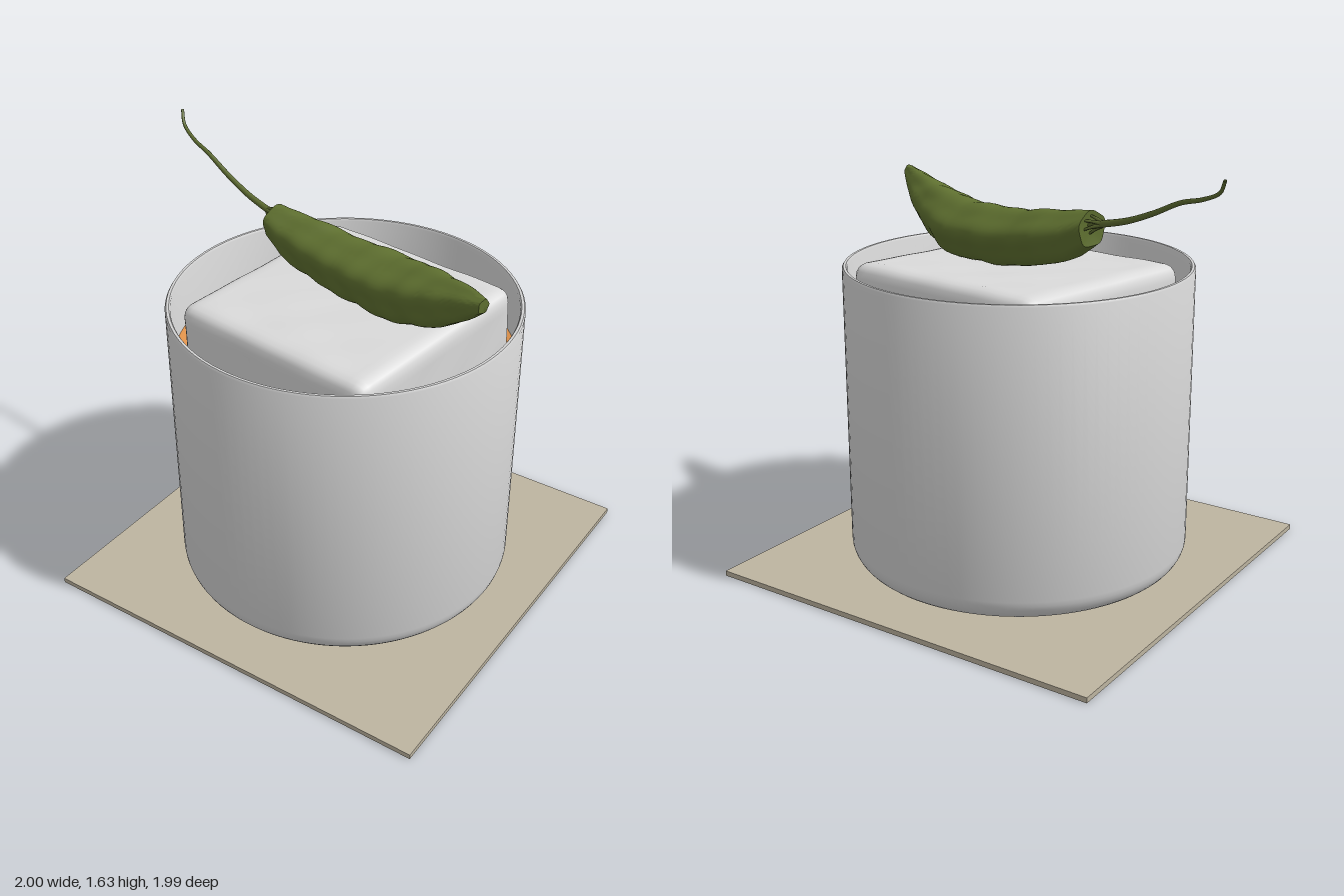
import * as THREE from 'three';
import { mergeVertices, toCreasedNormals } from 'three/addons/utils/BufferGeometryUtils.js';

const mat = (name, color) => Object.assign(new THREE.MeshStandardMaterial({ color }), { name });
const V2 = (x, y) => new THREE.Vector2(x, y);
const V3 = (x, y, z) => new THREE.Vector3(x, y, z);

// Smooth lumps, used for the ice and the pepper skin
const lumps = (x, y, z) =>
  Math.sin(x * 17 + 2 * Math.sin(z * 11)) * Math.sin(z * 15 + y * 9 + 1) * 0.6 +
  Math.sin(x * 31 + z * 23 + y * 27) * 0.4;

// Rounded block with a slightly uneven surface
function iceGeometry(w, h, d, r) {
  let geo = new THREE.BoxGeometry(w, h, d, 32, 32, 32);
  geo.deleteAttribute('uv');
  geo.deleteAttribute('normal');
  geo = mergeVertices(geo);
  const p = geo.attributes.position;
  const lim = V3(w / 2 - r, h / 2 - r, d / 2 - r);
  for (let i = 0; i < p.count; i++) {
    const v = V3().fromBufferAttribute(p, i);
    const core = v.clone().clamp(lim.clone().negate(), lim);
    const dir = v.sub(core).normalize();
    core.addScaledVector(dir, r + 0.0025 * lumps(core.x * 0.8, core.y * 0.8, core.z * 0.8));
    p.setXYZ(i, core.x, core.y, core.z);
  }
  geo.computeVertexNormals();
  return geo;
}

// Pepper stations: x, bottom y, top y, back z, front z
const STATIONS = [
  [-0.375, 1.31, 1.445, -0.055, 0.08],
  [-0.3, 1.255, 1.437, -0.095, 0.085],
  [-0.2, 1.222, 1.425, -0.135, 0.082],
  [-0.1, 1.204, 1.415, -0.155, 0.078],
  [0.05, 1.195, 1.41, -0.19, 0.075],
  [0.2, 1.195, 1.416, -0.205, 0.075],
  [0.3, 1.207, 1.428, -0.19, 0.07],
  [0.4, 1.238, 1.445, -0.16, 0.065],
  [0.5, 1.285, 1.462, -0.115, 0.055],
  [0.6, 1.355, 1.478, -0.068, 0.045],
  [0.69, 1.435, 1.487, -0.012, 0.04],
];

function stationAt(x) {
  let k = 0;
  while (k < STATIONS.length - 2 && x > STATIONS[k + 1][0]) k++;
  const a = STATIONS[k], b = STATIONS[k + 1];
  const t = (x - a[0]) / (b[0] - a[0]);
  return a.map((v, i) => v + (b[i] - v) * t);
}

// Wrinkled body lofted through the stations
function pepperGeometry(rows = 100, sides = 56) {
  const pos = [], idx = [];
  for (let i = 0; i <= rows; i++) {
    const [x, y0, y1, z0, z1] = stationAt(-0.375 + (1.065 * i) / rows);
    const cy = (y0 + y1) / 2, cz = (z0 + z1) / 2, hy = (y1 - y0) / 2, hz = (z1 - z0) / 2;
    for (let j = 0; j < sides; j++) {
      const a = (j / sides) * Math.PI * 2;
      const c = Math.cos(a), s = Math.sin(a);
      const k = 0.98 + 0.05 * Math.cos(5 * a + 0.6 + x) + 0.045 * lumps(x * 1.5, c * 0.13, s * 0.16);
      pos.push(x, cy + hy * c * k, cz + hz * s * k);
    }
  }
  const at = (i, j) => i * sides + (j % sides);
  for (let i = 0; i < rows; i++)
    for (let j = 0; j < sides; j++)
      idx.push(at(i, j), at(i, j + 1), at(i + 1, j), at(i, j + 1), at(i + 1, j + 1), at(i + 1, j));
  // End caps, the stem end slightly sunken
  const ends = [[0, -0.365], [rows, 0.69]];
  ends.forEach(([row, x], e) => {
    const [, y0, y1, z0, z1] = stationAt(x);
    const c = pos.length / 3;
    pos.push(x, (y0 + y1) / 2, (z0 + z1) / 2);
    for (let j = 0; j < sides; j++)
      idx.push(c, at(row, e ? j : j + 1), at(row, e ? j + 1 : j));
  });
  const geo = new THREE.BufferGeometry();
  geo.setAttribute('position', new THREE.Float32BufferAttribute(pos, 3));
  geo.setIndex(idx);
  return toCreasedNormals(geo, 0.9);
}

// Tube along a curve whose radius changes from r0 to r1
function taperedTube(points, r0, r1, segs, sides) {
  const curve = new THREE.CatmullRomCurve3(points);
  const geo = new THREE.TubeGeometry(curve, segs, 1, sides);
  const p = geo.attributes.position;
  for (let i = 0; i < p.count; i++) {
    const t = Math.floor(i / (sides + 1)) / segs;
    const c = curve.getPointAt(t);
    const v = V3().fromBufferAttribute(p, i).sub(c).multiplyScalar(r0 + (r1 - r0) * t).add(c);
    p.setXYZ(i, v.x, v.y, v.z);
  }
  return geo;
}

export function createModel() {
  const model = new THREE.Group();
  const napkin = mat('napkin beige', 0xbdb4a0);
  const glass = mat('glass grey', 0xd2d2d2);
  const ice = mat('ice white', 0xdadada);
  const drink = mat('drink orange', 0xe0924a);
  drink.side = THREE.DoubleSide;
  const skin = mat('pepper green', 0x5f7030);
  const stalk = mat('stem green', 0x5c6a30);
  stalk.side = THREE.DoubleSide;

  const add = (name, geo, material, parent = model) => {
    const m = new THREE.Mesh(geo, material);
    m.name = name;
    parent.add(m);
    return m;
  };

  // Thin square napkin, turned under the glass
  const base = add('napkin', new THREE.BoxGeometry(1.64, 0.02, 1.64), napkin);
  base.position.y = 0.01;
  base.rotation.y = THREE.MathUtils.degToRad(14.1);

  // Tumbler with a rounded foot and thin wall
  const profile = [V2(0, 0.022), V2(0.3, 0.022)];
  for (let i = 0; i <= 8; i++) {
    const a = (i / 8) * Math.PI / 2;
    profile.push(V2(0.575 + 0.09 * Math.sin(a), 0.112 - 0.09 * Math.cos(a)));
  }
  profile.push(V2(0.665, 1.192), V2(0.66, 1.2), V2(0.65, 1.2), V2(0.645, 1.192), V2(0.645, 0.1), V2(0, 0.08));
  add('tumbler', toCreasedNormals(new THREE.LatheGeometry(profile, 96), 0.6), glass);

  // Drink surface, dipping toward the ice
  const surface = [[0.646, 0.98], [0.6, 0.972], [0.54, 0.95], [0.45, 0.9], [0.3, 0.83], [0, 0.79]];
  add('drink', new THREE.LatheGeometry(surface.map(([r, y]) => V2(r, y)), 96), drink);

  // Large ice cube, tipped a little forward
  const cube = add('iceCube', iceGeometry(0.89, 0.89, 0.89, 0.055), ice);
  cube.position.set(-0.005, 0.752, -0.025);
  cube.rotation.set(0.025, THREE.MathUtils.degToRad(7.1), 0);

  // Pepper with stem and small sepals
  const pepper = new THREE.Group();
  pepper.name = 'pepper';
  model.add(pepper);
  add('pepperBody', pepperGeometry(), skin, pepper);
  add('stem', taperedTube([
    V3(-1, 1.63, -0.025), V3(-0.965, 1.585, -0.005), V3(-0.88, 1.55, 0.012), V3(-0.78, 1.525, 0.018),
    V3(-0.66, 1.473, 0.018), V3(-0.54, 1.43, 0.015), V3(-0.42, 1.403, 0.01), V3(-0.355, 1.392, 0.01),
  ], 0.006, 0.014, 60, 10), stalk, pepper);
  for (let i = 0; i < 6; i++) {
    const a = (i / 6) * Math.PI * 2;
    const c = Math.cos(a), s = Math.sin(a);
    add('sepal', taperedTube([
      V3(-0.425, 1.403 + 0.008 * c, 0.01 + 0.008 * s),
      V3(-0.395, 1.4 + 0.02 * c, 0.01 + 0.02 * s),
      V3(-0.36, 1.393 + 0.036 * c, 0.01 + 0.04 * s),
    ], 0.008, 0.004, 8, 6), stalk, pepper);
  }
  return model;
}
